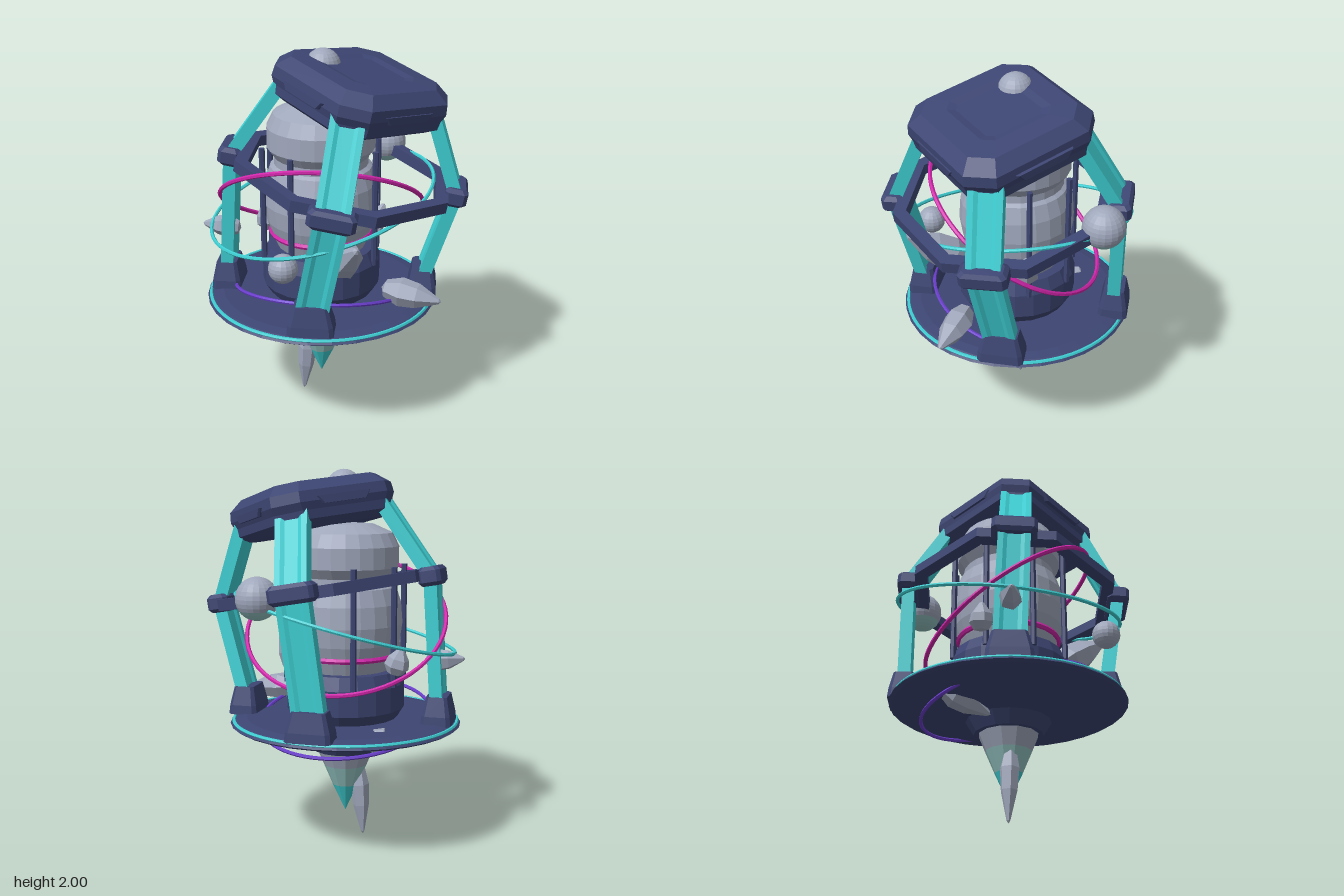
import * as THREE from 'three';

const mat = (name, color) => {
  const m = new THREE.MeshStandardMaterial({ color, flatShading: true });
  m.name = name;
  return m;
};
const V = (x, y, z) => new THREE.Vector3(x, y, z);
const UP = V(0, 1, 0);

// Stacked chamfered rectangles: each section is [y, halfX, halfZ, chamfer]
function loft(sections) {
  const pos = [], idx = [], n = 8;
  for (const [y, a, b, c] of sections)
    for (const [x, z] of [[a - c, b], [a, b - c], [a, c - b], [a - c, -b], [c - a, -b], [-a, c - b], [-a, b - c], [c - a, b]])
      pos.push(x, y, z);
  const last = (sections.length - 1) * n;
  for (let s = 0; s < last; s += n)
    for (let i = 0; i < n; i++) {
      const j = (i + 1) % n;
      idx.push(s + i, s + j, s + n + j, s + i, s + n + j, s + n + i);
    }
  for (let i = 1; i < n - 1; i++) idx.push(last, last + i, last + i + 1, 0, i + 1, i);
  const g = new THREE.BufferGeometry();
  g.setAttribute('position', new THREE.Float32BufferAttribute(pos, 3));
  g.setIndex(idx);
  g.computeVertexNormals();
  return g;
}

const lathe = (pts, seg) => new THREE.LatheGeometry(pts.map(p => new THREE.Vector2(...p)), seg);

export function createModel() {
  const navy = mat('navy metal', 0x3d4673);
  const grey = mat('pale grey', 0xa0a8bc);
  const teal = mat('teal', 0x3eced2);
  const mist = mat('pale teal', 0x92c2c0);
  const magenta = mat('magenta', 0xd026aa);
  const purple = mat('purple', 0x6a3ecc);

  const model = new THREE.Group();
  model.name = 'lantern';
  const add = (name, geo, material, parent = model) => {
    const m = new THREE.Mesh(geo, material);
    m.name = name;
    parent.add(m);
    return m;
  };

  // Upright core: disc, pedestal, vessel and spike share one axis
  const core = new THREE.Group();
  core.name = 'core';
  core.position.set(-0.03, 0, -0.015);
  model.add(core);
  add('baseDisc', lathe([[0, 0.555], [0.24, 0.56], [0.38, 0.585], [0.61, 0.637], [0.627, 0.648], [0.618, 0.658], [0.592, 0.67], [0.54, 0.68], [0, 0.68]], 32), navy, core);
  add('discRim', new THREE.TorusGeometry(0.608, 0.01, 6, 64).rotateX(Math.PI / 2).translate(0, 0.662, 0), teal, core);
  add('spikeCollar', lathe([[0, 0.49], [0.182, 0.49], [0.225, 0.56], [0, 0.57]], 16), navy, core);
  add('spikeTop', lathe([[0.121, 0.4], [0.16, 0.495]], 12), grey, core);
  add('spikeMiddle', lathe([[0.072, 0.285], [0.121, 0.4]], 12), mist, core);
  add('spikeTip', lathe([[0, 0.13], [0.072, 0.285]], 12), teal, core);
  add('pedestal', lathe([[0.28, 0.67], [0.32, 0.735], [0.32, 0.87], [0.29, 0.94], [0, 0.945]], 20), navy, core);
  add('vessel', lathe([[0.235, 0.93], [0.262, 1], [0.293, 1.09], [0.307, 1.19], [0.298, 1.3], [0.27, 1.385],
    [0.25, 1.4], [0.25, 1.44], [0.285, 1.49], [0.285, 1.6], [0.25, 1.67], [0.15, 1.715], [0, 1.725]], 24), grey, core);
  add('vesselBand', new THREE.TorusGeometry(0.268, 0.016, 6, 36).rotateX(Math.PI / 2).translate(0, 1.02, 0), magenta, core);

  // Cage rods around the vessel, leaving one bay open at the front
  for (let i = 0; i < 7; i++) {
    const a = (i + 0.5) * Math.PI / 4;
    add('cageRod', new THREE.CylinderGeometry(0.016, 0.016, 0.63, 6), navy, core)
      .position.set(0.318 * Math.sin(a), 1.185, 0.318 * Math.cos(a));
  }

  // Leaning cap
  const cap = new THREE.Group();
  cap.name = 'cap';
  cap.position.set(0.085, 1.795, 0.155);
  cap.quaternion.setFromUnitVectors(UP, V(0.11, 1, 0.18).normalize());
  model.add(cap);
  add('capBody', loft([[-0.12, 0.3, 0.3, 0.09], [-0.085, 0.35, 0.355, 0.11], [-0.04, 0.352, 0.362, 0.11],
    [0, 0.365, 0.375, 0.11], [0.055, 0.36, 0.37, 0.11], [0.112, 0.3, 0.31, 0.09], [0.118, 0.2, 0.2, 0.05], [0.108, 0.16, 0.16, 0.03]]), navy, cap);
  for (let i = 0; i < 4; i++) {
    const side = new THREE.Group();
    side.name = 'capSide';
    side.rotation.y = i * Math.PI / 2;
    cap.add(side);
    add('capSideBar', loft([[-0.02, 0.13, 0.016, 0.01], [0.02, 0.16, 0.016, 0.01]]), navy, side).position.set(0, 0, 0.364);
  }

  // Octagonal hoop joining the knees
  const tilt = new THREE.Quaternion().setFromUnitVectors(UP, V(0.09, 1, 0.155).normalize());
  const octagon = (Path, h, c) => new Path([[h, c], [c, h], [-c, h], [-h, c], [-h, -c], [-c, -h], [c, -h], [h, -c]]
    .map(p => new THREE.Vector2(...p)));
  const hoopShape = octagon(THREE.Shape, 0.535, 0.24);
  hoopShape.holes.push(octagon(THREE.Path, 0.472, 0.21));
  const hoop = add('kneeHoop', new THREE.ExtrudeGeometry(hoopShape, { depth: 0.06, bevelEnabled: false })
    .translate(0, 0, -0.03).rotateX(-Math.PI / 2), navy);
  hoop.position.set(0.035, 1.36, 0.095);
  hoop.quaternion.copy(tilt);

  // Leg beams with a shallow channel down each broad face
  const section = new THREE.Shape([[-0.085, -0.034], [-0.055, -0.034], [-0.035, -0.024], [0.035, -0.024], [0.055, -0.034], [0.085, -0.034],
    [0.085, 0.034], [0.055, 0.034], [0.035, 0.024], [-0.035, 0.024], [-0.055, 0.034], [-0.085, 0.034]].map(p => new THREE.Vector2(...p)));
  const beam = (name, from, to, out) => {
    const dir = to.clone().sub(from), len = dir.length();
    dir.normalize();
    const x = out.clone().cross(dir).normalize();
    const basis = new THREE.Matrix4().makeBasis(x, dir.clone().cross(x), dir).setPosition(from);
    add(name, new THREE.ExtrudeGeometry(section, { depth: len, bevelEnabled: false }).applyMatrix4(basis), teal);
  };
  const legs = [
    [1, 1, V(0.38, 0.76, 0.355), V(0.455, 1.27, 0.5), V(0.345, 1.75, 0.4)],
    [-1, 1, V(-0.39, 0.76, 0.355), V(-0.378, 1.325, 0.505), V(-0.185, 1.8, 0.4)],
    [1, -1, V(0.38, 0.76, -0.385), V(0.445, 1.4, -0.33), V(0.335, 1.79, -0.125)],
    [-1, -1, V(-0.39, 0.76, -0.385), V(-0.375, 1.45, -0.33), V(-0.195, 1.83, -0.125)],
  ];
  for (const [sx, sz, foot, knee, top] of legs) {
    const out = V(sx, 0, sz).normalize();
    const yaw = new THREE.Quaternion().setFromAxisAngle(UP, Math.atan2(sx, sz));
    beam('lowerLeg', foot, knee, out);
    beam('upperLeg', knee, top, out);
    const k = add('knee', loft([[-0.05, 0.1, 0.045, 0.02], [-0.03, 0.12, 0.06, 0.02], [0.03, 0.12, 0.06, 0.02], [0.05, 0.1, 0.045, 0.02]]), navy);
    k.position.copy(knee);
    k.quaternion.copy(tilt).multiply(yaw);
    const f = add('foot', loft([[0, 0.12, 0.08, 0.02], [0.05, 0.115, 0.075, 0.02], [0.15, 0.088, 0.055, 0.015]]), navy);
    f.position.set(foot.x, 0.672, foot.z);
    f.quaternion.copy(yaw);
  }

  // Thin orbit hoops, each set by its centre height, radius and plane normal
  const orbit = (name, y, r, tube, normal, material) => {
    const m = add(name, new THREE.TorusGeometry(r, tube, 6, 64).rotateX(Math.PI / 2), material);
    m.position.set(-0.03, y, -0.015);
    m.quaternion.setFromUnitVectors(UP, normal.normalize());
  };
  orbit('magentaOrbit', 1.185, 0.54, 0.012, V(0.47, 1, -0.51), magenta);
  orbit('tealOrbit', 1.19, 0.61, 0.01, V(-0.25, 1, -0.1), teal);
  orbit('purpleOrbit', 0.67, 0.47, 0.01, V(0.19, 1, -0.17), purple);

  // Floating orbs
  add('topOrb', new THREE.SphereGeometry(0.092, 20, 14), grey).position.set(-0.025, 1.908, -0.005);
  add('smallOrb', new THREE.SphereGeometry(0.075, 16, 12), grey).position.set(-0.487, 1.01, 0.255);
  const split = Math.PI * 0.68;
  add('sideOrb', new THREE.SphereGeometry(0.11, 20, 11, 0, Math.PI * 2, 0, split), grey).position.set(0.547, 1.362, -0.14);
  add('sideOrbBase', new THREE.SphereGeometry(0.11, 20, 5, 0, Math.PI * 2, split, Math.PI - split), mist).position.set(0.547, 1.362, -0.14);

  // Faceted crystals, each from tail to tip
  const crystal = (from, to, r) => {
    const dir = to.clone().sub(from), l = dir.length();
    const m = add('crystal', lathe([[0, 0], [r * 0.6, l * 0.06], [r, l * 0.32], [r * 0.85, l * 0.6], [r * 0.2, l * 0.96], [0, l]], 6), grey);
    m.position.copy(from);
    m.quaternion.setFromUnitVectors(UP, dir.normalize());
  };
  crystal(V(-0.13, 0.9, 0.22), V(-0.25, 1.14, 0.54), 0.095);
  crystal(V(0.195, 0.92, 0.08), V(0.285, 1.13, 0.14), 0.07);
  crystal(V(0.07, 0.78, 0.37), V(0.24, 0.745, 0.645), 0.078);
  crystal(V(-0.085, 0.42, -0.06), V(-0.1, 0, -0.09), 0.052);
  crystal(V(0.02, 0.66, -0.46), V(-0.1, 0.53, -0.22), 0.075);
  crystal(V(-0.34, 1.0, -0.33), V(-0.49, 1.02, -0.475), 0.062);
  crystal(V(-0.14, 0.94, -0.33), V(-0.17, 1.09, -0.36), 0.066);

  return model;
}
